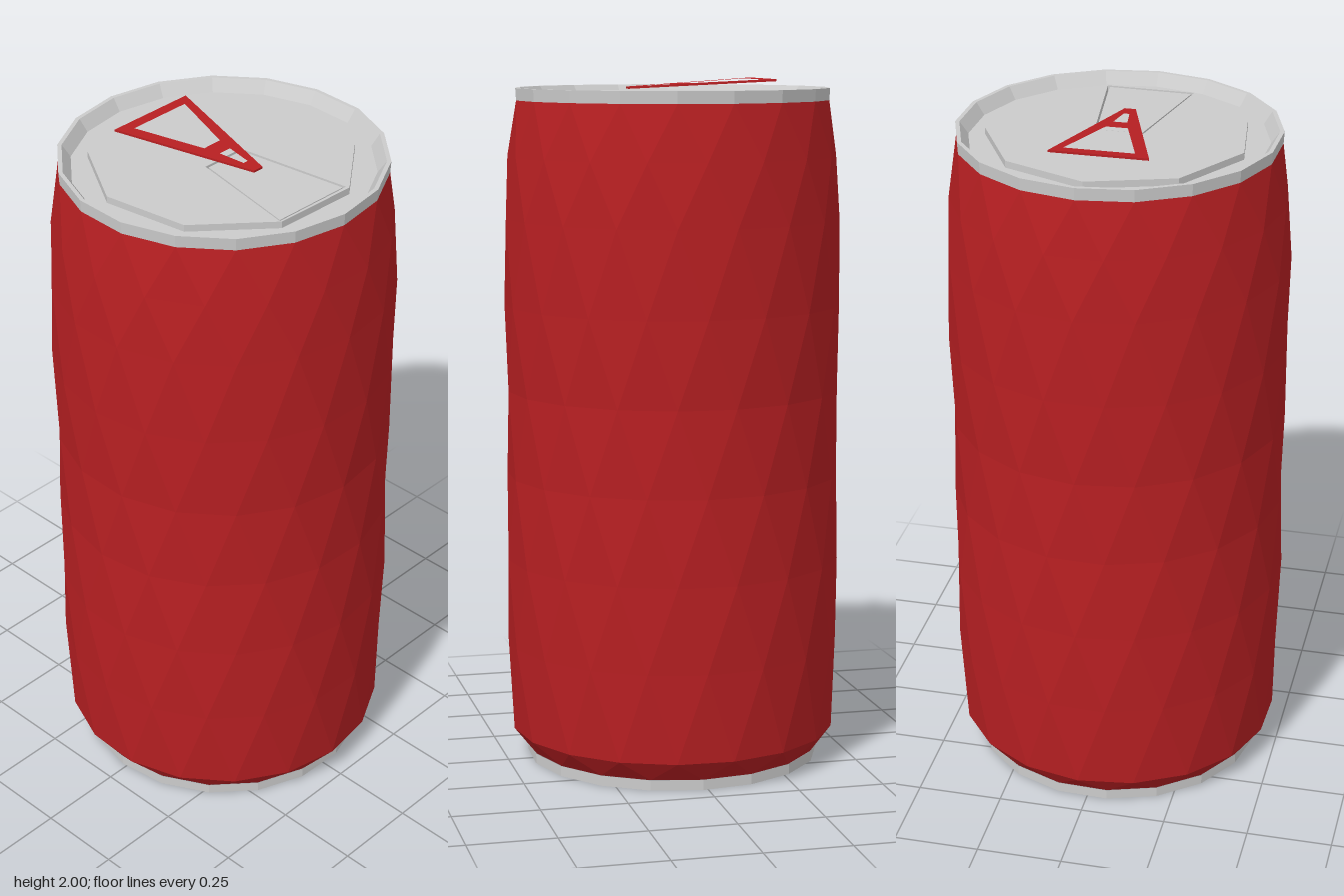
import * as THREE from 'three';

const SIDES = 18;
const STEP = (Math.PI * 2) / SIDES;
const TURN = -0.035; // slight twist of the facets about the axis

const grey = new THREE.MeshStandardMaterial({ color: 0xcccccc, flatShading: true });
const red = new THREE.MeshStandardMaterial({ color: 0xb71f22, flatShading: true });

function part(name, geometry, material) {
  const mesh = new THREE.Mesh(geometry, material);
  mesh.name = name;
  return mesh;
}

function lathe(points, sides, start) {
  return new THREE.LatheGeometry(points.map(([r, y]) => new THREE.Vector2(r, y)), sides, start);
}

// Closed outline from [x, z] points
function outline(points, Type = THREE.Shape) {
  return new Type(points.map(([x, z]) => new THREE.Vector2(x, -z)));
}

// Flat plate lying in the xz plane, with its underside at y
function plate(shape, depth, y) {
  return new THREE.ExtrudeGeometry(shape, { depth, bevelEnabled: false })
    .rotateX(-Math.PI / 2)
    .translate(0, y, 0);
}

// Rings of points, each turned half a step from the next, joined as diamonds
function facetedWall(rings) {
  const positions = [];
  const index = [];
  rings.forEach(([r, y], i) => {
    const shift = (rings.length - 1 - i) % 2 ? 0.5 : 0;
    for (let k = 0; k < SIDES; k++) {
      const a = TURN + (k + shift) * STEP;
      positions.push(r * Math.sin(a), y, r * Math.cos(a));
    }
    if (i === rings.length - 1) return;
    for (let k = 0; k < SIDES; k++) {
      const n = (k + 1) % SIDES;
      const a = i * SIDES + k, b = i * SIDES + n;
      const c = a + SIDES, d = b + SIDES;
      if (shift) index.push(a, b, d, a, d, c);
      else index.push(a, b, c, b, d, c);
    }
  });
  const geometry = new THREE.BufferGeometry();
  geometry.setAttribute('position', new THREE.Float32BufferAttribute(positions, 3));
  geometry.setIndex(index);
  geometry.computeVertexNormals();
  return geometry;
}

export function createModel() {
  const can = new THREE.Group();
  can.name = 'drinkCan';

  // Painted wall
  can.add(part('wall', facetedWall([
    [0.43, 0.03], [0.478, 0.09], [0.489, 0.35], [0.491, 0.6], [0.487, 0.85],
    [0.486, 1.1], [0.491, 1.35], [0.489, 1.6], [0.478, 1.78], [0.456, 1.94],
  ]), red));

  // Foot ring and recessed underside
  can.add(part('base', lathe(
    [[0, 0.05], [0.36, 0.045], [0.4, 0.035], [0.415, 0], [0.432, 0], [0.432, 0.03]],
    SIDES, TURN + STEP / 2), grey));

  // Top rim, running down into the recess
  can.add(part('topRim', lathe(
    [[0.456, 1.94], [0.458, 1.975], [0.446, 1.975], [0.422, 1.94], [0, 1.94]],
    SIDES, TURN), grey));

  // Nine-sided lid with a cut-out for the opening
  const corners = [];
  for (let k = 0; k < 9; k++) {
    const a = Math.PI + TURN + k * 2 * STEP;
    corners.push([0.375 * Math.sin(a), 0.375 * Math.cos(a)]);
  }
  const lid = outline(corners);
  lid.holes.push(outline([[-0.07, 0], [0.07, 0], [0.113, 0.347], [-0.143, 0.342]], THREE.Path));
  can.add(part('lid', plate(lid, 0.02, 1.94), grey));

  // Opening flap, with a thin gap around it
  const flap = outline([[-0.064, 0.006], [0.064, 0.006], [0.106, 0.341], [-0.136, 0.336]]);
  can.add(part('openingFlap', plate(flap, 0.018, 1.94), grey));

  // Tapered pull tab, its wide end lifted
  const tabShape = outline([[-0.145, -0.275], [0.133, -0.275], [0.014, 0.132], [-0.018, 0.132]]);
  tabShape.holes.push(
    outline([[-0.1, -0.244], [0.098, -0.244], [0.028, -0.04], [-0.034, -0.04]], THREE.Path),
    outline([[-0.022, 0.007], [0.018, 0.007], [0.006, 0.085], [-0.01, 0.085]], THREE.Path));
  const tabGeometry = plate(tabShape, 0.006, 0);
  const p = tabGeometry.attributes.position;
  for (let i = 0; i < p.count; i++) {
    p.setY(i, p.getY(i) + 1.972 + 0.022 * (0.132 - p.getZ(i)) / 0.407);
  }
  tabGeometry.computeVertexNormals();
  can.add(part('pullTab', tabGeometry, red));

  return can;
}
